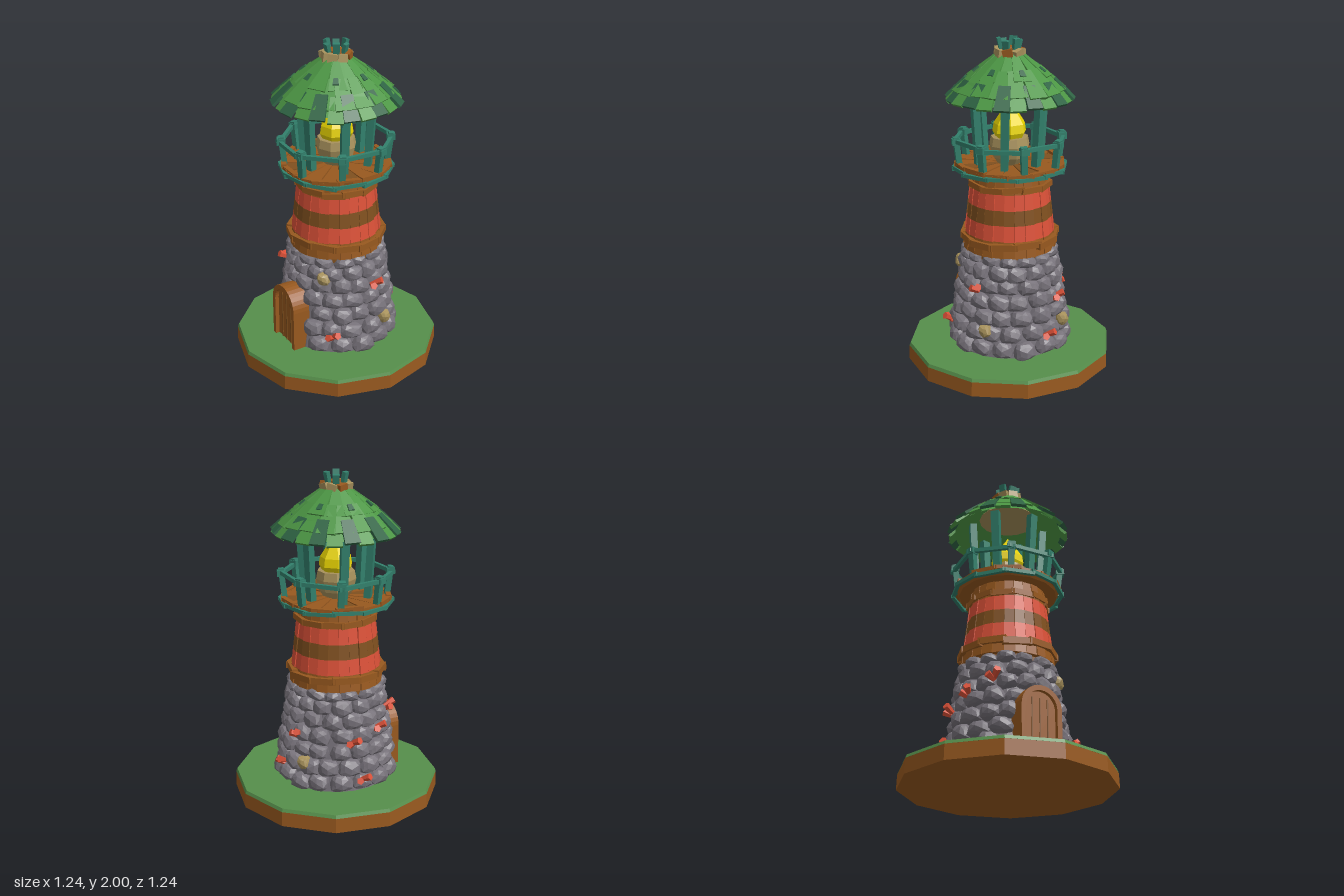
import * as THREE from 'three';

const paint = (name, color, extra = {}) =>
  Object.assign(new THREE.MeshStandardMaterial({ color, flatShading: true, ...extra }), { name });

export function createModel() {
  const model = new THREE.Group();
  model.name = 'lighthouse';
  const grass = paint('grass', 0x568f4b);
  const wood = paint('wood', 0x98591f);
  const darkWood = paint('dark wood', 0x80501f);
  const stone = paint('stone', 0x77727a);
  const tan = paint('tan', 0xa8925c);
  const red = paint('red', 0xdc5138);
  const teal = paint('teal', 0x32806c);
  const leaf = paint('roof green', 0x4c9644, { side: THREE.DoubleSide });
  const pine = paint('dark roof green', 0x2f6444);
  const yellow = paint('flame yellow', 0xe8d400);

  let seed = 11;
  const rnd = (s = 1) => {
    seed = (seed * 16807) % 2147483647;
    return (seed / 2147483647 - 0.5) * 2 * s;
  };
  const rad = THREE.MathUtils.degToRad;
  const part = name => {
    const g = new THREE.Group();
    g.name = name;
    model.add(g);
    return g;
  };
  const add = (parent, name, geo, mat, x = 0, y = 0, z = 0) => {
    const m = new THREE.Mesh(geo, mat);
    m.name = name;
    m.position.set(x, y, z);
    parent.add(m);
    return m;
  };
  // holder turned to angle a around the tower (0 = front, toward +x)
  const turned = (parent, a) => {
    const g = new THREE.Group();
    g.rotation.y = a;
    parent.add(g);
    return g;
  };
  // tapered board from (r0, y0) up to (r1, y1) at angle a
  const slab = (parent, name, a, r0, y0, r1, y1, w0, w1, t, mat, roll = 0) => {
    const len = Math.hypot(r1 - r0, y1 - y0);
    const geo = new THREE.BoxGeometry(1, len, t);
    const p = geo.attributes.position;
    for (let i = 0; i < p.count; i++) p.setX(i, p.getX(i) * (p.getY(i) > 0 ? w1 : w0));
    const m = add(turned(parent, a), name, geo, mat, 0, (y0 + y1) / 2, (r0 + r1) / 2);
    m.rotation.set(Math.atan2(r1 - r0, y1 - y0), 0, roll);
    return m;
  };
  // ring of rough straight logs
  const logRing = (parent, name, n, r, y, h, t, mat, start = 0, wob = 0.008) => {
    for (let i = 0; i < n; i++) {
      const w = 2 * (r + t / 2) * Math.tan(Math.PI / n) + 0.01;
      const m = add(turned(parent, start + (i / n) * Math.PI * 2), name,
        new THREE.BoxGeometry(w, h, t), mat, 0, y + rnd(wob), r * Math.cos(Math.PI / n) + rnd(wob / 2));
      m.rotation.z = rnd(0.07);
    }
  };
  // faceted boulder of half sizes sx, sy, sz
  const boulder = (sx, sy, sz) => {
    const geo = new THREE.IcosahedronGeometry(1, 1);
    const p = geo.attributes.position;
    const k = rnd(9);
    const square = v => Math.sign(v) * Math.abs(v) ** 0.8;
    for (let i = 0; i < p.count; i++) {
      const x = p.getX(i), y = p.getY(i), z = p.getZ(i);
      const s = 0.94 + 0.12 * Math.sin(4 * x + k) * Math.cos(3 * y - k + 2 * z);
      p.setXYZ(i, square(x) * s * sx, square(y) * s * sy, square(z) * s * sz);
    }
    return geo;
  };

  // island base
  const base = part('base');
  add(base, 'earth', new THREE.CylinderGeometry(0.632, 0.635, 0.09, 12, 1, false, rad(17)), wood, 0, 0.045);
  add(base, 'grass', new THREE.CylinderGeometry(0.625, 0.633, 0.02, 12, 1, false, rad(17)), grass, 0, 0.1);

  // stone tower, leaving a gap for the door
  const tower = part('stoneTower');
  const outer = y => 0.385 - 0.155 * (y - 0.16);
  const doorA = rad(-42);
  add(tower, 'core', new THREE.CylinderGeometry(0.25, 0.335, 0.62, 20), stone, 0, 0.41);
  [0.165, 0.265, 0.36, 0.455, 0.545, 0.63, 0.7].forEach((y, row) => {
    const n = row < 3 ? 16 : 15;
    for (let i = 0; i < n; i++) {
      const a = ((i + (row % 2) / 2 + rnd(0.12)) / n) * Math.PI * 2;
      const gap = Math.abs(Math.atan2(Math.sin(a - doorA), Math.cos(a - doorA)));
      if ((y < 0.43 && gap < rad(27)) || (y < 0.5 && gap < rad(17))) continue;
      const w = (Math.PI * outer(y)) / n;
      const h = row > 5 ? 0.038 : 0.056 + rnd(0.006);
      const m = add(turned(tower, a), 'stone', boulder(w * (1.02 + rnd(0.1)), h, 0.055),
        stone, 0, y + rnd(0.008), outer(y) - 0.05 + rnd(0.006));
      m.rotation.set(-0.15, 0, rnd(0.15));
    }
  });

  // pale stones and red crystals set in the wall
  for (const [a, y] of [[2, 0.61], [73, 0.29], [164, 0.29]]) {
    const m = add(turned(tower, rad(a)), 'paleStone', boulder(0.042, 0.045, 0.04), tan, 0, y, outer(y) - 0.015);
    m.rotation.z = 0.3;
  }
  for (const [a, y] of [[13, 0.25], [61, 0.54], [153, 0.46], [135, 0.25], [214, 0.43], [222, 0.2], [245, 0.49], [274, 0.57]]) {
    const g = turned(tower, rad(a));
    for (const s of [-1, 1]) {
      const m = add(g, 'crystal', new THREE.CylinderGeometry(0.023, 0.014, s > 0 ? 0.08 : 0.06, 5), red,
        s * 0.014, y + s * 0.008, outer(y) + 0.005);
      m.rotation.set(1.0, 0, s * -0.5);
    }
  }

  // arched door
  const door = part('door');
  door.rotation.y = doorA;
  const arch = (S, w, y0, y1) => {
    const s = new S();
    s.moveTo(-w, y0);
    s.lineTo(w, y0);
    s.lineTo(w, y1);
    s.absarc(0, y1, w, 0, Math.PI, false);
    s.lineTo(-w, y0);
    return s;
  };
  const extrude = (s, depth) => new THREE.ExtrudeGeometry(s, { depth, bevelEnabled: false, curveSegments: 8 });
  const frame = arch(THREE.Shape, 0.13, 0.1, 0.37);
  frame.holes.push(arch(THREE.Path, 0.1, 0.105, 0.37));
  add(door, 'doorFrame', extrude(frame, 0.11), wood, 0, 0, 0.275);
  add(door, 'doorPanel', extrude(arch(THREE.Shape, 0.102, 0.105, 0.37), 0.08), wood, 0, 0, 0.28);
  for (const x of [-0.05, 0, 0.05])
    add(door, 'doorGroove', new THREE.BoxGeometry(0.008, 0.32, 0.006), darkWood, x, 0.27, 0.361);

  // plank storey with painted bands
  const planks = part('plankStorey');
  add(planks, 'plankCore', new THREE.CylinderGeometry(0.2, 0.262, 0.52, 24), darkWood, 0, 0.96);
  const bands = [[0.73, 0.83, wood], [0.83, 0.925, red], [0.925, 1.015, darkWood], [1.015, 1.11, red], [1.11, 1.22, wood]];
  const wallR = y => 0.274 - 0.115 * (y - 0.73);
  for (let i = 0; i < 26; i++) {
    const off = rnd(0.006), roll = rnd(0.02);
    for (const [y0, y1, mat] of bands) {
      const w = y => (wallR(y) * Math.PI * 2) / 26;
      slab(planks, 'plank', (i / 26) * Math.PI * 2, wallR(y0) + off - 0.01, y0, wallR(y1) + off - 0.01, y1,
        w(y0), w(y1), 0.035, mat, roll);
    }
  }
  logRing(planks, 'lowerHoop', 12, 0.285, 0.805, 0.04, 0.035, wood);
  logRing(planks, 'upperHoop', 12, 0.24, 1.135, 0.035, 0.03, wood, 0.2);

  // deck and railing
  const deck = part('deck');
  add(deck, 'deckFloor', new THREE.CylinderGeometry(0.32, 0.3, 0.03, 16), wood, 0, 1.23);
  for (let i = 0; i < 16; i++)
    slab(deck, 'deckBoard', ((i + 0.5) / 16) * Math.PI * 2, 0.08, 1.247 + rnd(0.004), 0.325, 1.247 + rnd(0.004),
      0.03, 0.115, 0.012, i % 4 === 1 ? darkWood : wood);
  logRing(deck, 'deckEdge', 14, 0.318, 1.25, 0.026, 0.03, wood, 0.1);
  const railing = part('railing');
  logRing(railing, 'bottomRail', 12, 0.336, 1.23, 0.022, 0.022, teal, 0, 0.005);
  logRing(railing, 'topRail', 8, 0.335, 1.395, 0.024, 0.022, teal, 0, 0.008);
  for (let i = 0; i < 8; i++) {
    const a = ((i + 0.5) / 8) * Math.PI * 2;
    slab(railing, 'railPost', a, 0.305, 1.23, 0.328, 1.425, 0.034, 0.04, 0.034, teal, rnd(0.06));
    add(turned(railing, a), 'railKnot', new THREE.BoxGeometry(0.05, 0.036, 0.05), teal, 0, 1.397, 0.326);
  }

  // lamp with flame
  const lamp = part('lamp');
  const lathe = (pts, n) => new THREE.LatheGeometry(pts.map(p => new THREE.Vector2(...p)), n);
  add(lamp, 'lampBowl', lathe([[0.07, 1.24], [0.105, 1.29], [0.122, 1.36], [0.112, 1.41], [0, 1.41]], 9), tan);
  add(lamp, 'flame', lathe([[0.07, 1.38], [0.103, 1.44], [0.095, 1.49], [0.05, 1.56], [0, 1.63]], 7), yellow);

  // lantern posts
  const lantern = part('lanternPosts');
  for (let i = 0; i < 6; i++)
    slab(lantern, 'lanternPost', rad(30 + i * 60), 0.195, 1.24, 0.225, 1.7, 0.042, 0.052, 0.042, teal, rnd(0.03));

  // shingled roof
  const roof = part('roof');
  add(roof, 'roofShell', new THREE.CylinderGeometry(0.07, 0.335, 0.225, 24, 1, true), leaf, 0, 1.768);
  add(roof, 'ceiling', new THREE.CylinderGeometry(0.17, 0.18, 0.012, 16), tan, 0, 1.765);
  const rows = [
    [24, 0.372, 1.64, 0.26, 1.752, 0.092, 0.07],
    [18, 0.325, 1.697, 0.175, 1.825, 0.112, 0.065],
    [14, 0.235, 1.775, 0.06, 1.908, 0.105, 0.032],
  ];
  rows.forEach(([n, r0, y0, r1, y1, w0, w1], row) => {
    for (let i = 0; i < n; i++) {
      const dark = row === 0 && i % 2 === 0;
      const lift = dark ? 0.008 : rnd(0.005);
      slab(roof, 'shingle', ((i + row * 0.3 + rnd(0.08)) / n) * Math.PI * 2,
        r0 + lift + rnd(0.008), y0 + lift + rnd(0.005), r1, y1 + lift, w0, w1, 0.018, dark ? pine : leaf, rnd(0.06));
    }
  });
  // small dark patches between the upper shingles
  for (let i = 0; i < 7; i++)
    slab(roof, 'darkShingle', ((i + 0.3) / 7) * Math.PI * 2, 0.215, 1.805, 0.18, 1.832, 0.036, 0.026, 0.014, pine);

  // roof crown
  const crown = part('crown');
  add(crown, 'crownCore', new THREE.CylinderGeometry(0.05, 0.07, 0.08, 8), wood, 0, 1.905);
  for (let i = 0; i < 8; i++) {
    const m = add(turned(crown, (i / 8) * Math.PI * 2), 'crownBlock',
      new THREE.BoxGeometry(0.058, 0.05 + rnd(0.006), 0.04), i % 3 === 2 ? wood : tan, 0, 1.91, 0.07);
    m.rotation.set(rnd(0.2), rnd(0.3), rnd(0.25));
  }
  for (let i = 0; i < 6; i++)
    slab(crown, 'crownPeg', (i / 6) * Math.PI * 2 + 0.3, 0.05, 1.925, 0.065, i % 2 ? 1.985 : 1.997, 0.036, 0.042, 0.022, teal);

  return model;
}
